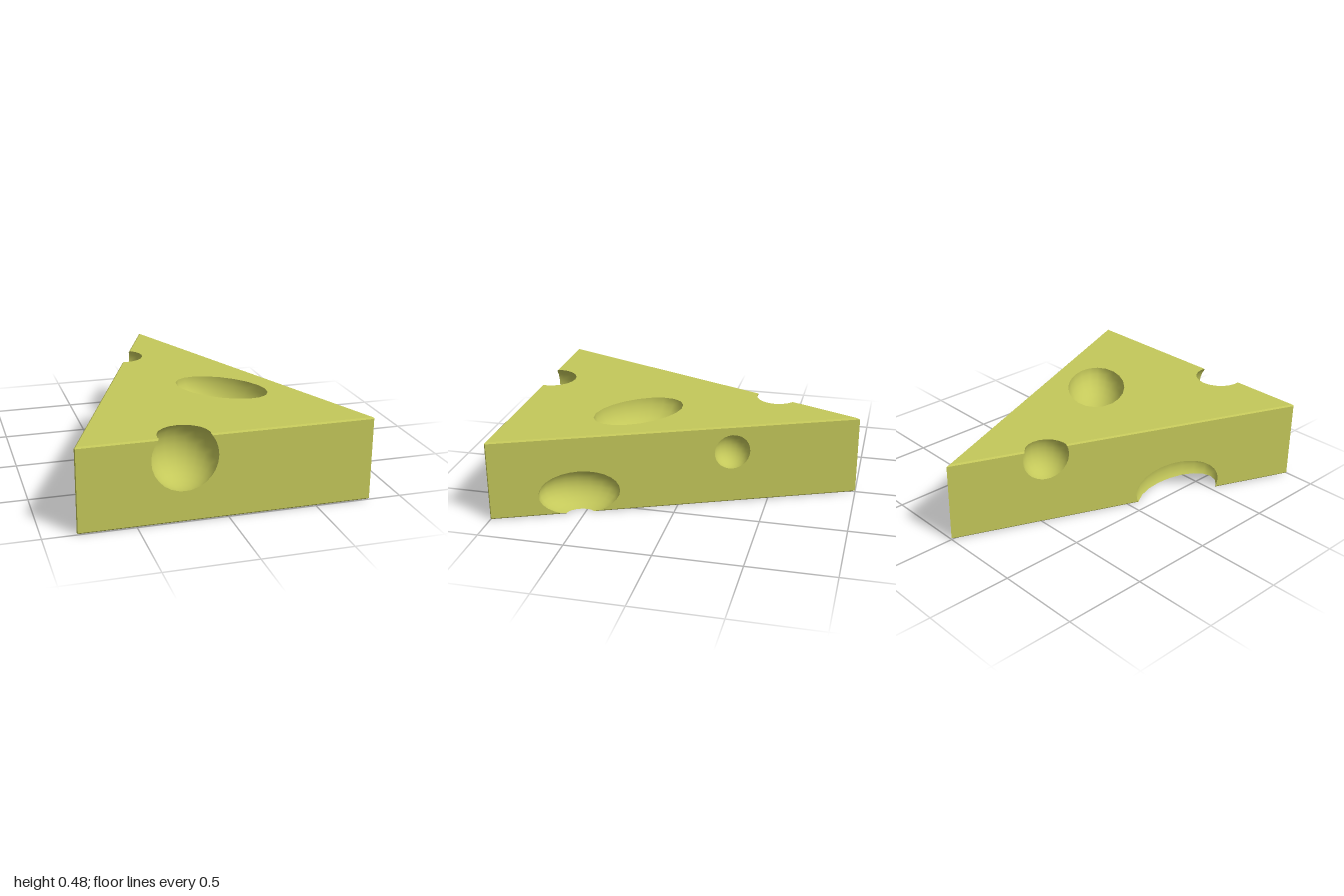
import * as THREE from 'three';

const V = (x, y, z) => new THREE.Vector3(x, y, z);
const HEIGHT = 0.48, SLOPE = 0.41, BEVEL = 0.006;

// Keep the part of a convex polygon on one side of a plane (side 1 = in front, -1 = behind)
function clip(poly, plane, side) {
  const out = [];
  poly.forEach((a, i) => {
    const b = poly[(i + 1) % poly.length];
    const da = plane.distanceToPoint(a) * side, db = plane.distanceToPoint(b) * side;
    if (da >= 0) out.push(a);
    if ((da > 0 && db < 0) || (da < 0 && db > 0)) out.push(a.clone().lerp(b, da / (da - db)));
  });
  return out;
}

// Convex polygon minus a convex solid, as a list of convex pieces
function subtract(poly, planes) {
  const pieces = [];
  let rest = poly;
  for (const plane of planes) {
    const d = rest.map((p) => plane.distanceToPoint(p));
    if (Math.max(...d) < 1e-6) continue;
    if (Math.min(...d) > -1e-6) return [poly];
    pieces.push(clip(rest, plane, 1));
    rest = clip(rest, plane, -1);
    if (rest.length < 3) return [poly];
  }
  return pieces;
}

// Fan-triangulate convex polygons, with normals given by a rule
function toGeometry(polys, normalAt) {
  const pos = [], nor = [];
  for (const { points, ...info } of polys) {
    for (let i = 1; i + 1 < points.length; i++) {
      for (const p of [points[0], points[i], points[i + 1]]) {
        pos.push(p.x, p.y, p.z);
        nor.push(...normalAt(p, info).toArray());
      }
    }
  }
  const g = new THREE.BufferGeometry();
  g.setAttribute('position', new THREE.Float32BufferAttribute(pos, 3));
  g.setAttribute('normal', new THREE.Float32BufferAttribute(nor, 3));
  return g;
}

// Planes of the triangular wedge, with narrow bevels along all edges but the tip
function wedgePlanes() {
  const face = (n, p) => new THREE.Plane().setFromNormalAndCoplanarPoint(n.normalize(), p);
  const tip = V(0, 0, -1), corner = V(2 * SLOPE, 0, 1);
  const top = face(V(0, 1, 0), V(0, HEIGHT, 0));
  const bottom = face(V(0, -1, 0), V(0, 0, 0));
  const front = face(V(0, 0, 1), corner);
  const sides = [1, -1].map((s) => face(V(s, 0, -SLOPE), tip));
  const bevel = (a, b, p) => {
    const n = a.normal.clone().add(b.normal).normalize();
    return face(n, p.clone().addScaledVector(n, -BEVEL));
  };
  const planes = [top, bottom, front, ...sides];
  for (const [cap, y] of [[top, HEIGHT], [bottom, 0]]) {
    planes.push(bevel(cap, front, V(0, y, 1)));
    sides.forEach((s) => planes.push(bevel(cap, s, V(0, y, -1))));
  }
  sides.forEach((s, i) => planes.push(bevel(front, s, V(i ? -corner.x : corner.x, 0, 1))));
  return planes;
}

// One large square in a plane, trimmed by all the other planes
function planeFace(plane, planes) {
  const n = plane.normal;
  const u = V(0, 1, 0).cross(n);
  if (u.lengthSq() < 1e-6) u.set(1, 0, 0);
  u.normalize();
  const w = n.clone().cross(u), c = plane.coplanarPoint(V(0, 0, 0));
  let poly = [[-1, -1], [1, -1], [1, 1], [-1, 1]].map(([a, b]) =>
    c.clone().addScaledVector(u, a * 5).addScaledVector(w, b * 5));
  for (const other of planes) if (other !== plane) poly = clip(poly, other, -1);
  return poly;
}

// Ellipsoid used to scoop a hole: its triangles, their planes and its smooth normal
function makeScoop({ at, radii, yaw = 0 }) {
  const m = new THREE.Matrix4().compose(V(...at),
    new THREE.Quaternion().setFromAxisAngle(V(0, 1, 0), yaw), V(...radii));
  const g = new THREE.SphereGeometry(1, 20, 14).applyMatrix4(m).toNonIndexed();
  const p = g.attributes.position, triangles = [];
  for (let i = 0; i < p.count; i += 3) {
    triangles.push([0, 1, 2].map((k) => V(0, 0, 0).fromBufferAttribute(p, i + k)));
  }
  const inverse = m.clone().invert(), nm = new THREE.Matrix3().getNormalMatrix(m);
  return {
    triangles,
    planes: triangles.map((t) => new THREE.Plane().setFromCoplanarPoints(...t)),
    inwardNormal: (q) => q.clone().applyMatrix4(inverse).applyNormalMatrix(nm).negate(),
  };
}

const HOLES = [
  { name: 'frontHole', at: [-0.24, 0.36, 0.97], radii: [0.187, 0.187, 0.187] },
  { name: 'topHole', at: [0.18, HEIGHT, 0.287], radii: [0.288, 0.18, 0.176], yaw: -Math.PI / 4 },
  { name: 'rightEdgeHole', at: [-0.235, 0.42, -0.48], radii: [0.14, 0.14, 0.14] },
  { name: 'rightBottomHole', at: [-0.515, 0.06, 0.32], radii: [0.172, 0.172, 0.32] },
  { name: 'leftLongHole', at: [0.625, 0.128, 0.525], radii: [0.234, 0.137, 0.15], yaw: -1.18 },
  { name: 'leftSmallHole', at: [0.287, 0.32, -0.3], radii: [0.106, 0.106, 0.106] },
];

export function createModel() {
  const group = new THREE.Group();
  group.name = 'cheeseWedge';
  const material = new THREE.MeshStandardMaterial({ color: 0xc4c85a });
  const add = (name, geometry) => {
    const mesh = new THREE.Mesh(geometry, material);
    mesh.name = name;
    group.add(mesh);
  };
  const planes = wedgePlanes();
  const scoops = HOLES.map(makeScoop);

  // Outer skin with the holes cut out of it
  const skin = [];
  for (const plane of planes) {
    let pieces = [planeFace(plane, planes)];
    for (const s of scoops) pieces = pieces.flatMap((poly) => subtract(poly, s.planes));
    pieces.forEach((points) => skin.push({ points, normal: plane.normal }));
  }
  add('wedge', toGeometry(skin, (p, info) => info.normal));

  // Hollow inside of each hole, trimmed to the wedge and facing inward
  scoops.forEach((s, i) => {
    const polys = s.triangles.map((t) => ({
      points: planes.reduce((poly, plane) => clip(poly, plane, -1), [...t].reverse()),
    }));
    add(HOLES[i].name, toGeometry(polys, s.inwardNormal));
  });
  return group;
}
